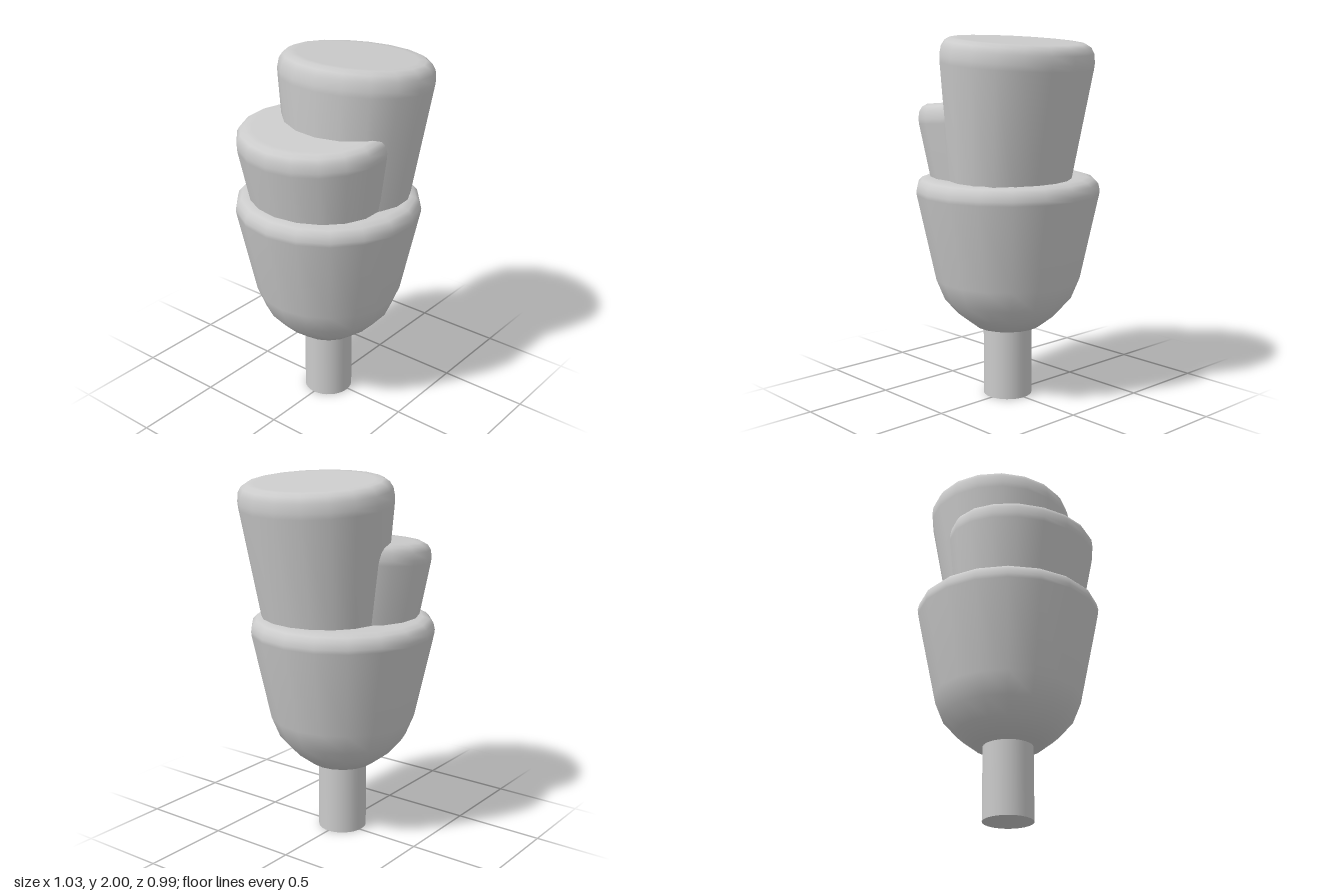
import * as THREE from 'three';

const material = new THREE.MeshStandardMaterial({ color: 0xcccccc });

// Shared profile of a rounded clump: [radius, height below the top]
const PROFILE = [
  [0, -0.84], [0.183, -0.84], [0.28, -0.765], [0.355, -0.68], [0.402, -0.565],
  [0.503, -0.092], [0.505, -0.07], [0.497, -0.035], [0.475, -0.012], [0.44, 0], [0.39, 0], [0, 0],
].map(([r, y]) => new THREE.Vector2(r, y));

// One 18-sided clump, placed by the centre of its flat top
function clump(name, top, scale, lean = 0, turn = 0) {
  const geometry = new THREE.LatheGeometry(PROFILE, 18, Math.PI / 2);
  geometry.rotateY(turn);
  const mesh = new THREE.Mesh(geometry, material);
  mesh.name = name;
  mesh.position.set(...top);
  mesh.scale.set(...scale);
  mesh.rotation.z = lean;
  return mesh;
}

export function createModel() {
  const model = new THREE.Group();
  model.name = 'tree';

  // Stem
  const stem = new THREE.Mesh(new THREE.CylinderGeometry(0.135, 0.135, 0.46, 32), material);
  stem.name = 'trunk';
  stem.position.set(-0.013, 0.23, 0);
  model.add(stem);

  // Wide lower clump with two leaning ones growing out of it
  model.add(
    clump('lowerFoliage', [-0.013, 1.24, 0], [1, 1, 1]),
    clump('tallFoliage', [0.141, 1.972, 0.067], [0.765, 1.35, 0.85], -0.085, 0.08),
    clump('shortFoliage', [-0.143, 1.646, 0], [0.745, 1.15, 0.845], 0.08),
  );
  return model;
}
